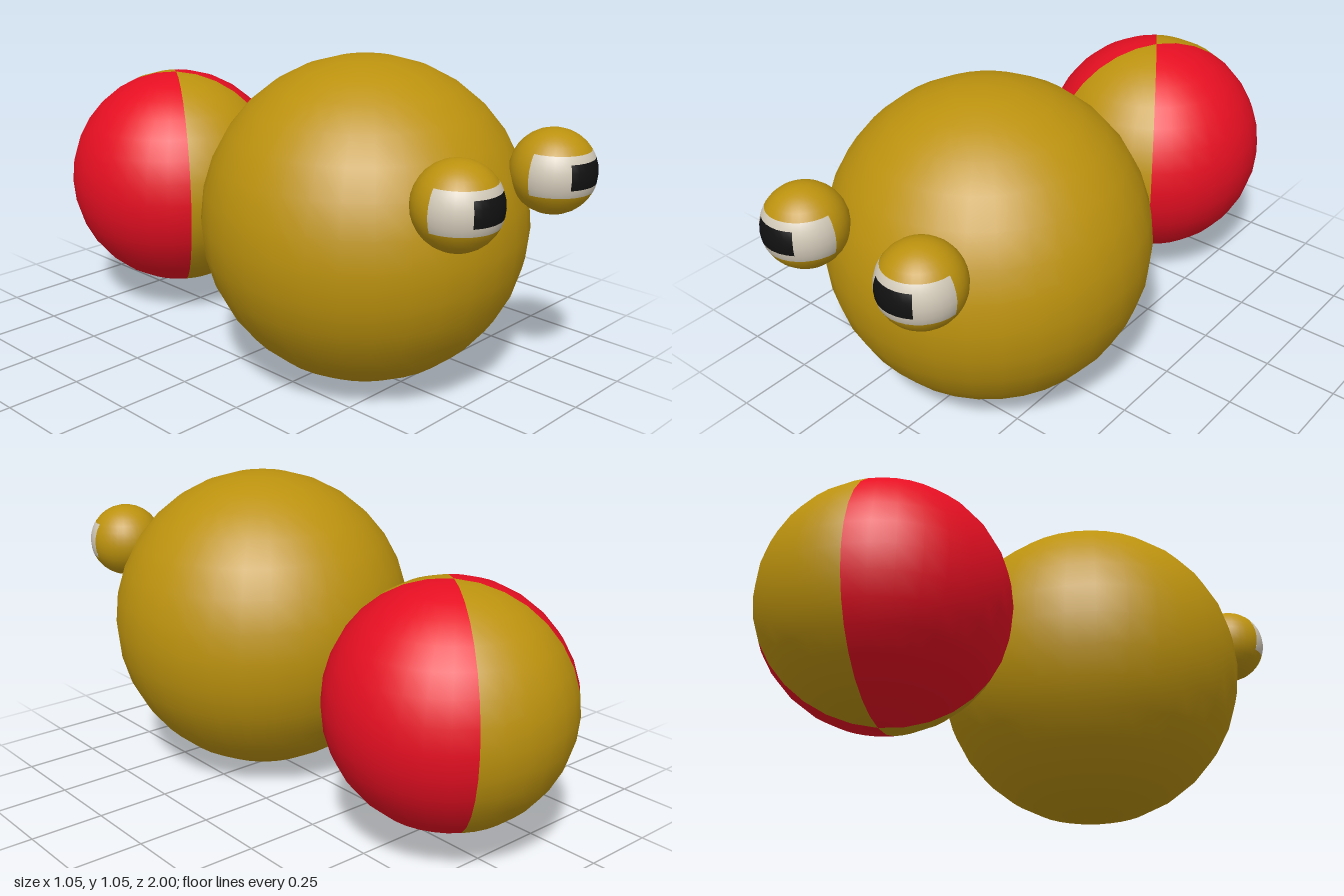
import * as THREE from 'three';

const STEP = Math.PI / 16; // spheres have 32 segments and 16 rings

const gold = new THREE.MeshStandardMaterial({ color: 0xbc920e });
const red = new THREE.MeshStandardMaterial({ color: 0xe60f22 });
const white = new THREE.MeshStandardMaterial({ color: 0xd2c9b8 });
const black = new THREE.MeshStandardMaterial({ color: 0x111111 });

// Patch of a sphere: segments s0..s1 around (8 faces +z), rings r0..r1 from the top
function patch(name, radius, material, s0, s1, r0, r1) {
  const geometry = new THREE.SphereGeometry(radius, s1 - s0, r1 - r0,
    s0 * STEP, (s1 - s0) * STEP, r0 * STEP, (r1 - r0) * STEP);
  const mesh = new THREE.Mesh(geometry, material);
  mesh.name = name;
  return mesh;
}

// Eye: gold lids, white front band and a dark pupil, all on one sphere
function createEye(name) {
  const eye = new THREE.Group();
  eye.name = name;
  const r = 0.132;
  eye.add(
    patch('upperLid', r, gold, 0, 32, 0, 5),
    patch('eyeBack', r, gold, 16, 32, 5, 10),
    patch('lowerLid', r, gold, 0, 32, 10, 16),
    patch('whiteAbove', r, white, 0, 16, 5, 6),
    patch('whiteBelow', r, white, 0, 16, 9, 10),
    patch('whiteRight', r, white, 0, 5, 6, 9),
    patch('whiteLeft', r, white, 11, 16, 6, 9),
    patch('pupil', r, black, 5, 11, 6, 9),
  );
  return eye;
}

export function createModel() {
  const model = new THREE.Group();
  model.name = 'model';

  // Head
  const head = patch('head', 0.527, gold, 0, 32, 0, 16);
  head.position.set(0, 0.53, 0.327);
  model.add(head);

  // Eyes
  for (const side of [-1, 1]) {
    const eye = createEye(side > 0 ? 'leftEye' : 'rightEye');
    eye.position.set(side * 0.235, 0.75, 0.868);
    model.add(eye);
  }

  // Striped rear ball: red sides, gold front and back
  const ball = new THREE.Group();
  ball.name = 'rearBall';
  const r = 0.395;
  ball.add(
    patch('frontStripe', r, gold, 5, 11, 0, 16),
    patch('leftPanel', r, red, 11, 21, 0, 16),
    patch('backStripe', r, gold, 21, 27, 0, 16),
    patch('rightPanel', r, red, 27, 37, 0, 16),
  );
  ball.position.set(0, 0.476, -0.605);
  model.add(ball);

  return model;
}
